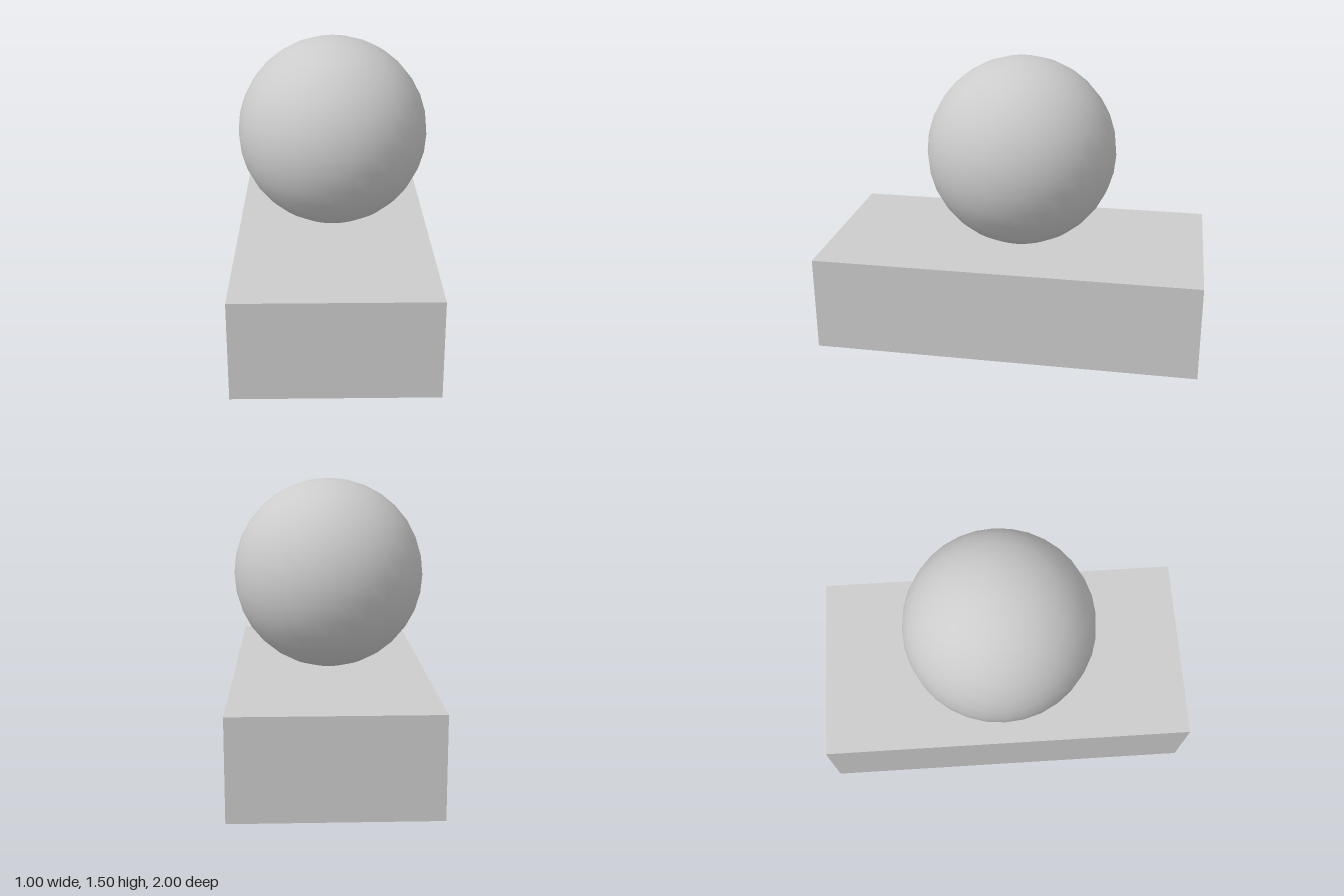
import * as THREE from 'three';

export function createModel() {
  const model = new THREE.Group();
  const material = new THREE.MeshStandardMaterial({ color: 0xcccccc });

  const addPart = (name, geometry, x, y, z) => {
    const mesh = new THREE.Mesh(geometry, material);
    mesh.name = name;
    mesh.position.set(x, y, z);
    model.add(mesh);
  };

  // Rectangular block standing on the ground
  addPart('base', new THREE.BoxGeometry(1, 0.5, 2), 0, 0.25, 0);

  // Smooth ball resting on the block, slightly behind its middle
  addPart('ball', new THREE.SphereGeometry(0.5, 32, 16), 0, 1, -0.02);

  return model;
}
